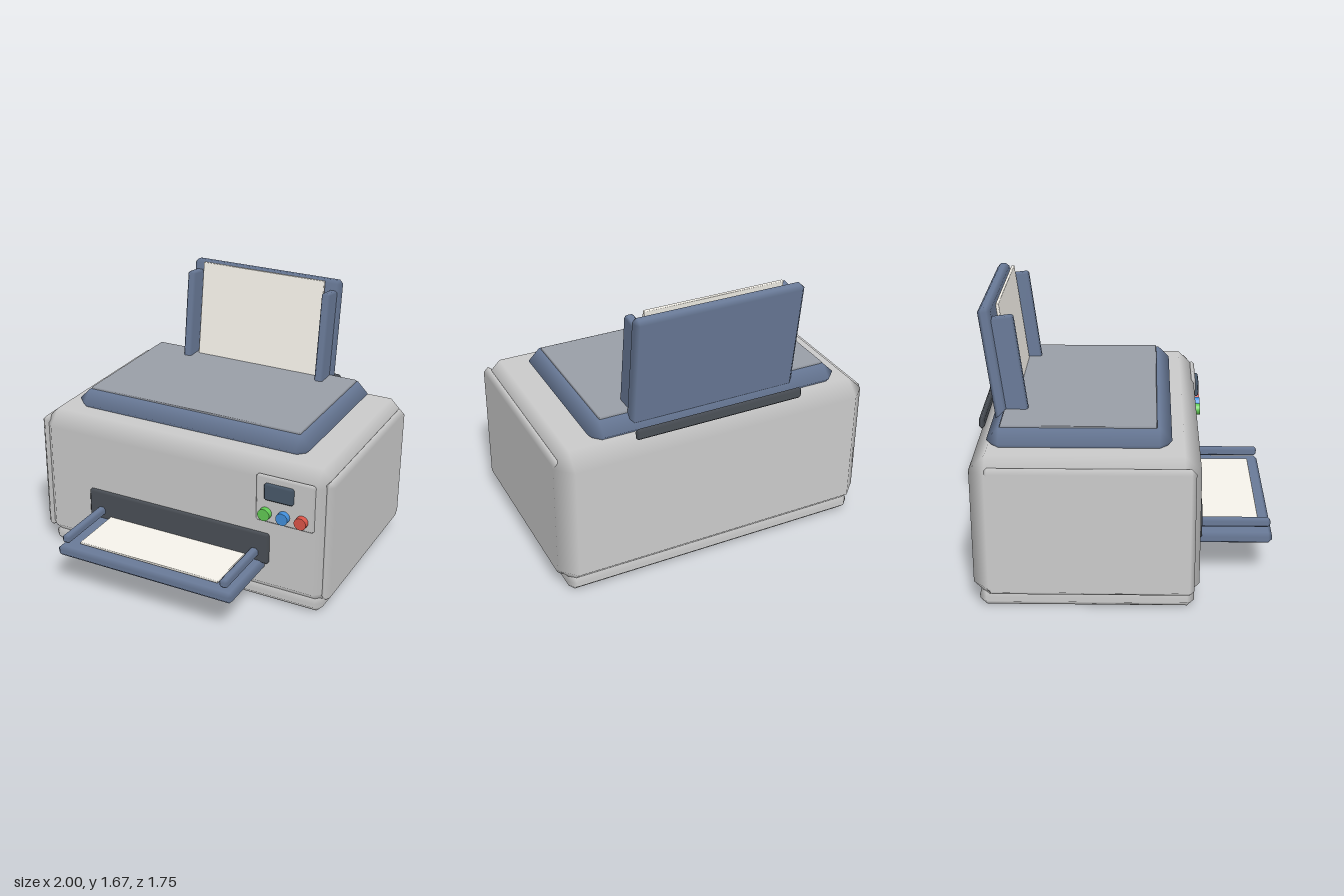
import * as THREE from 'three';
import { ConvexGeometry } from 'three/addons/geometries/ConvexGeometry.js';

const mat = (color) => new THREE.MeshStandardMaterial({ color });
const GREY = mat(0xcccccc);
const BLUE = mat(0x6a7b99);
const LID = mat(0x9a9fa8);
const DARK = mat(0x4b5057);
const SCREEN = mat(0x4a5a6b);
const PAPER = mat(0xf7f4ec);

// Box with chamfered edges; normals stay flat on the faces and blend over the chamfers
function chamferBox(w, h, d, c) {
  const half = [w / 2, h / 2, d / 2];
  const points = [];
  for (let axis = 0; axis < 3; axis++)
    for (const sx of [-1, 1]) for (const sy of [-1, 1]) for (const sz of [-1, 1]) {
      const p = [sx, sy, sz].map((s, i) => s * (i === axis ? half[i] : half[i] - c));
      points.push(new THREE.Vector3(...p));
    }
  const geo = new ConvexGeometry(points);
  const pos = geo.attributes.position;
  for (let i = 0; i < pos.count; i++) {
    const p = [pos.getX(i), pos.getY(i), pos.getZ(i)];
    geo.attributes.normal.setXYZ(i, ...p.map((v, k) => (Math.abs(v) > half[k] - c * 0.01 ? Math.sign(v) : 0)));
  }
  return geo;
}

// Adds a chamfered box given its extents on each axis
function addBox(parent, name, [x0, x1], [y0, y1], [z0, z1], c, material) {
  const mesh = new THREE.Mesh(chamferBox(x1 - x0, y1 - y0, z1 - z0, c), material);
  mesh.position.set((x0 + x1) / 2, (y0 + y1) / 2, (z0 + z1) / 2);
  mesh.name = name;
  parent.add(mesh);
  return mesh;
}

export function createModel() {
  const model = new THREE.Group();
  model.name = 'printer';

  // Housing
  addBox(model, 'base', [-0.95, 0.95], [0, 0.105], [-0.84, 0.4], 0.04, GREY);
  addBox(model, 'body', [-1, 1], [0.05, 0.943], [-0.873, 0.43], 0.095, GREY);
  for (const s of [-1, 1]) {
    const name = s > 0 ? 'leftSidePanel' : 'rightSidePanel';
    addBox(model, name, [s * 0.97 - 0.03, s * 0.97 + 0.03], [0.1, 0.89], [-0.79, 0.4], 0.028, GREY);
  }

  // Scanner lid
  addBox(model, 'lid', [-0.828, 0.765], [0.9, 1.045], [-0.785, 0.265], 0.07, BLUE);
  addBox(model, 'lidTopPanel', [-0.755, 0.69], [1.03, 1.057], [-0.71, 0.18], 0.006, LID);

  // Leaning paper feeder at the back
  const feeder = new THREE.Group();
  feeder.name = 'paperFeeder';
  feeder.position.set(0, 1.3, -0.76);
  feeder.rotation.x = -0.125;
  model.add(feeder);
  addBox(feeder, 'feederBackrest', [-0.52, 0.52], [-0.375, 0.37], [-0.038, 0.038], 0.022, BLUE);
  addBox(feeder, 'feederPaper', [-0.43, 0.43], [-0.36, 0.365], [0.06, 0.08], 0.004, PAPER);
  for (const s of [-1, 1])
    addBox(feeder, 'feederGuide', [s * 0.476 - 0.028, s * 0.476 + 0.028], [-0.34, 0.305], [0.02, 0.158], 0.012, BLUE);
  addBox(model, 'rearHinge', [-0.53, 0.53], [0.94, 1.01], [-0.858, -0.825], 0.015, DARK);

  // Control panel with screen and buttons
  addBox(model, 'controlPanel', [0.53, 0.905], [0.565, 0.872], [0.41, 0.443], 0.014, GREY);
  addBox(model, 'screen', [0.592, 0.778], [0.725, 0.832], [0.435, 0.466], 0.01, SCREEN);
  [0x62cc55, 0x4290dc, 0xdc5549].forEach((color, i) => {
    const button = new THREE.Mesh(new THREE.CylinderGeometry(0.038, 0.038, 0.06, 24), mat(color));
    button.rotation.x = Math.PI / 2;
    button.position.set(0.6 + i * 0.116, 0.633, 0.449);
    button.name = 'button';
    model.add(button);
  });

  // Output slot and tray
  addBox(model, 'outputSlot', [-0.623, 0.623], [0.285, 0.488], [0.4, 0.453], 0.012, DARK);
  addBox(model, 'outputTray', [-0.593, 0.593], [0.235, 0.303], [0.36, 0.873], 0.022, BLUE);
  addBox(model, 'outputPaper', [-0.472, 0.472], [0.309, 0.325], [0.38, 0.8], 0.004, PAPER);
  for (const s of [-1, 1])
    addBox(model, 'trayRail', [s * 0.534 - 0.027, s * 0.534 + 0.027], [0.328, 0.381], [0.38, 0.862], 0.014, BLUE);

  return model;
}
